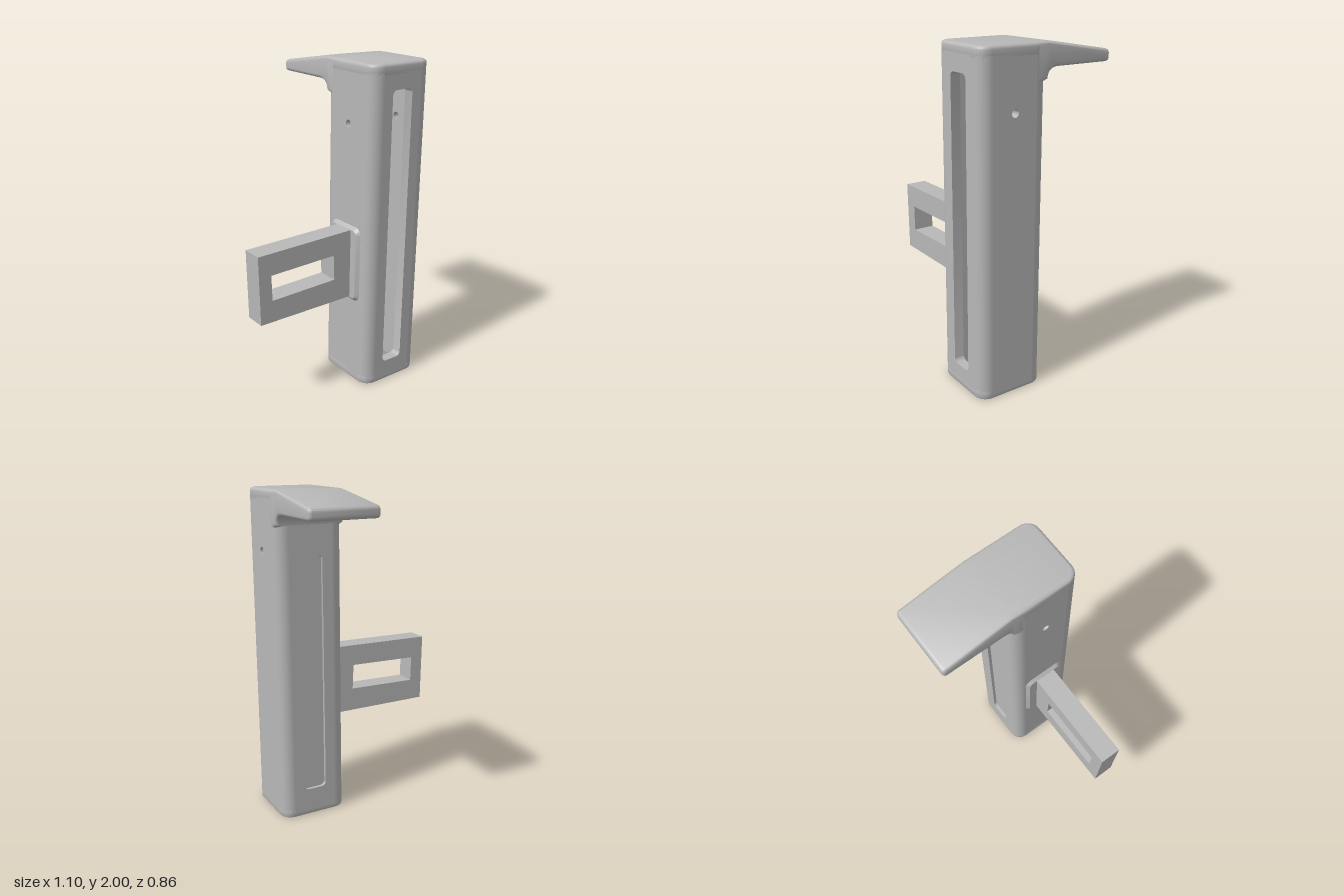
import * as THREE from 'three';
import { toCreasedNormals } from 'three/addons/utils/BufferGeometryUtils.js';

const HX = 0.2125, HZ = 0.215;   // half width and depth of the post
const WALL = 0.06, R = 0.075;    // wall thickness, outer corner radius
const Y0 = 0.03, Y1 = 1.95;      // wall span between base ring and cap

// Rounded rectangle centred on (cx, cy)
function roundRect(w, h, r, cx = 0, cy = 0, Type = THREE.Shape) {
  const s = new Type(), x = w / 2, y = h / 2;
  s.absarc(cx + x - r, cy + y - r, r, 0, Math.PI / 2);
  s.absarc(cx - x + r, cy + y - r, r, Math.PI / 2, Math.PI);
  s.absarc(cx - x + r, cy - y + r, r, Math.PI, Math.PI * 1.5);
  s.absarc(cx + x - r, cy - y + r, r, Math.PI * 1.5, Math.PI * 2);
  s.closePath();
  return s;
}

function extrude(shape, depth, bevel = 0, segments = 4) {
  return new THREE.ExtrudeGeometry(shape, {
    depth: depth - 2 * bevel, curveSegments: 10, bevelEnabled: bevel > 0,
    bevelThickness: bevel, bevelSize: bevel, bevelOffset: -bevel, bevelSegments: segments,
  }).translate(0, 0, bevel);
}

export function createModel() {
  const grey = new THREE.MeshStandardMaterial({ color: 0xb8b8b8 });
  grey.name = 'plain grey';
  const model = new THREE.Group();
  const post = new THREE.Group();
  post.name = 'post';
  post.position.set(0.3325, 0, 0.215);
  model.add(post);

  const add = (parent, name, geometry, x = 0, y = 0, z = 0) => {
    const mesh = new THREE.Mesh(toCreasedNormals(geometry, 0.6), grey);
    mesh.name = name;
    mesh.position.set(x, y, z);
    parent.add(mesh);
    return mesh;
  };

  // Upright wall panel with optional opening
  const panel = (width, depth, hole) => {
    const s = roundRect(width, Y1 - Y0, 0.0005, 0, (Y0 + Y1) / 2);
    if (hole) s.holes.push(hole);
    return extrude(s, depth);
  };
  const slot = (y0, y1) => roundRect(0.145, y1 - y0, 0.03, 0, (y0 + y1) / 2, THREE.Path);

  // Front wall with open slot, back wall with shallow recess
  const flatX = 2 * (HX - R), flatZ = 2 * (HZ - R);
  add(post, 'frontWall', panel(flatX, WALL, slot(0.13, 1.85)), 0, 0, HZ - WALL);
  add(post, 'backWallRecess', panel(flatX, 0.02, slot(0.17, 1.63)), 0, 0, -HZ);
  add(post, 'backWall', panel(flatX, WALL - 0.02), 0, 0, -HZ + 0.02);

  // Side walls with a pin hole straight through
  for (const x of [-HX, HX - WALL]) {
    const pin = new THREE.Path().absarc(0, 1.645, 0.022, 0, Math.PI * 2);
    add(post, 'sideWall', panel(flatZ, WALL, pin).rotateY(Math.PI / 2), x);
  }

  // Four rounded corners
  const corner = new THREE.Shape();
  corner.moveTo(R, 0);
  corner.lineTo(R, WALL);
  corner.quadraticCurveTo(WALL, WALL, WALL, R);
  corner.lineTo(0, R);
  corner.absarc(R, R, R, Math.PI, Math.PI * 1.5);
  [[-1, 1], [1, 1], [1, -1], [-1, -1]].forEach(([sx, sz], k) => {
    const g = extrude(corner, Y1 - Y0).rotateX(-Math.PI / 2).rotateY(k * Math.PI / 2);
    add(post, 'postCorner', g, sx * HX, Y0, sz * HZ);
  });

  // Open base ring and closed cap with softened edges
  const ring = roundRect(2 * HX, 2 * HZ, R);
  ring.holes.push(roundRect(2 * (HX - WALL), 2 * (HZ - WALL), 0.015, 0, 0, THREE.Path));
  add(post, 'baseRing', extrude(ring, 0.06, 0.01, 2).rotateX(-Math.PI / 2));
  const cap = roundRect(2 * HX, 2 * HZ, R);
  add(post, 'cap', extrude(cap, 0.08, 0.02).rotateX(-Math.PI / 2), 0, 1.92, 0);

  // Hook: side profile (backwards, up) extruded across the post
  const hook = new THREE.Shape();
  hook.moveTo(-0.08, 1.79);
  hook.lineTo(-0.04, 1.79);
  hook.lineTo(0, 1.805);
  hook.quadraticCurveTo(0.005, 1.865, 0.07, 1.865);
  hook.lineTo(0.405, 1.865);
  hook.quadraticCurveTo(0.43, 1.865, 0.43, 1.89);
  hook.lineTo(0.43, 1.91);
  hook.quadraticCurveTo(0.43, 1.932, 0.405, 1.937);
  hook.lineTo(0, 2);
  hook.lineTo(-0.08, 2);
  add(model, 'hook', extrude(hook, 2 * HX, 0.02).rotateY(Math.PI / 2), 0.12);

  // Side arm with rectangular window
  const polygon = (points, Type) => new Type().setFromPoints(points.map(([x, y]) => new THREE.Vector2(x, y)));
  const arm = polygon([[-0.54, 0.575], [0.15, 0.578], [0.15, 1.015], [-0.55, 1.0]], THREE.Shape);
  arm.holes.push(polygon([[-0.46, 0.71], [-0.465, 0.868], [-0.025, 0.88], [-0.018, 0.722]], THREE.Path));
  add(model, 'sideArm', extrude(arm, 0.13), 0, 0, 0.15);

  // Flared pad where the arm meets the post
  const pad = roundRect(0.275, 0.485, 0.05);
  add(model, 'armPad', extrude(pad, 0.06, 0.022, 1).rotateY(Math.PI / 2), 0.1, 0.794, 0.2125);

  return model;
}
